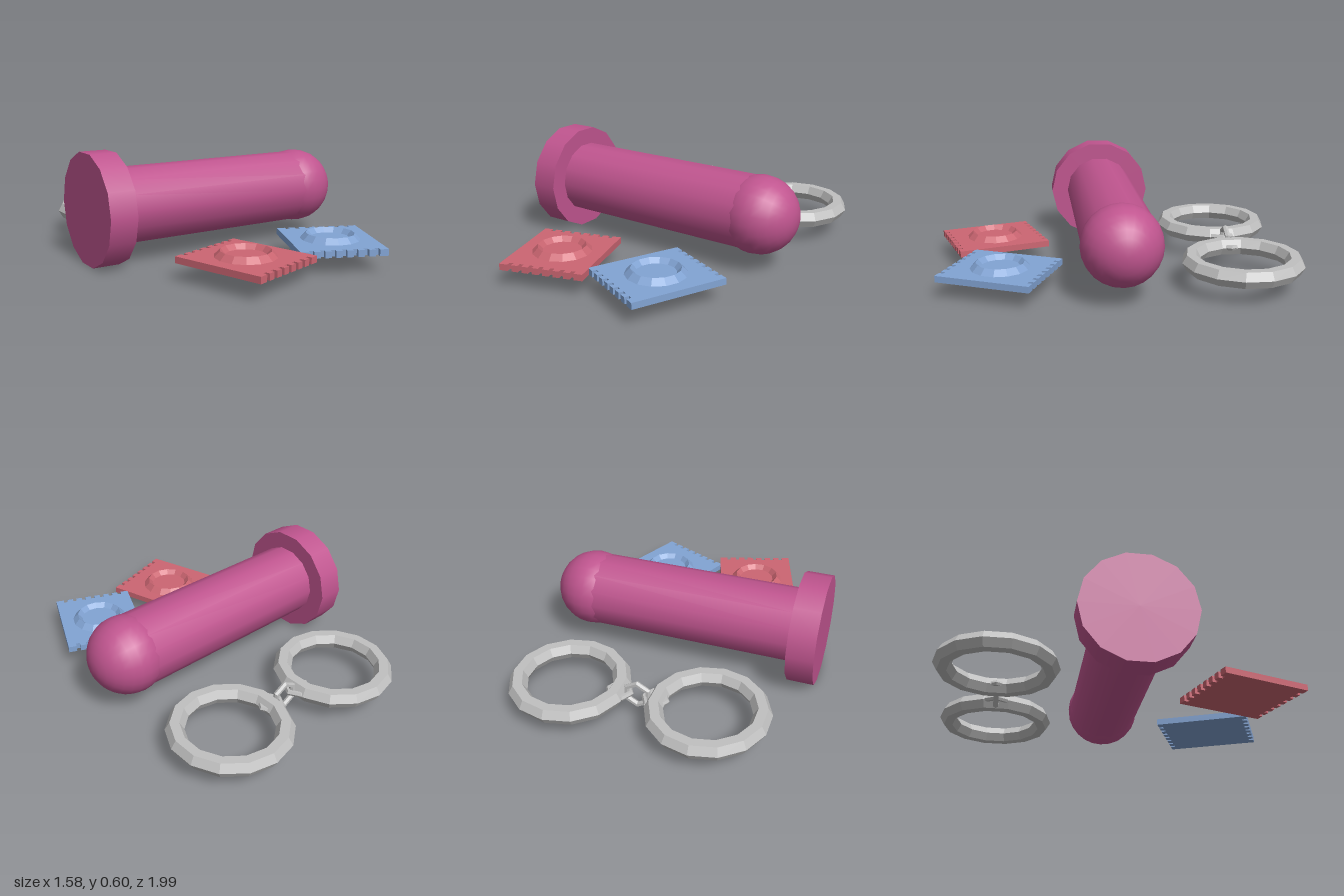
import * as THREE from 'three';

const paint = (name, color) => {
  const m = new THREE.MeshStandardMaterial({ color });
  m.name = name;
  return m;
};

// Faceted copy of a geometry
const faceted = (g) => {
  const f = g.index ? g.toNonIndexed() : g;
  f.computeVertexNormals();
  return f;
};

export function createModel() {
  const group = new THREE.Group();
  const magenta = paint('magenta', 0xc0558f);
  const metal = paint('metal', 0xc0c0c0);
  const red = paint('red', 0xcc6672);
  const blue = paint('blue', 0x82a4d4);

  const add = (name, geometry, material, x, y, z, parent = group) => {
    const mesh = new THREE.Mesh(geometry, material);
    mesh.name = name;
    mesh.position.set(x, y, z);
    parent.add(mesh);
    return mesh;
  };

  // Lying rod: wide base disc, shaft and round tip, all along x
  const rod = (r, length) => new THREE.CylinderGeometry(r, r, length, 14).rotateZ(-Math.PI / 2);
  add('base', rod(0.307, 0.15), magenta, -0.715, 0.3, 0);
  add('shaft', rod(0.207, 1.2), magenta, -0.04, 0.303, 0);
  add('roundTip', new THREE.SphereGeometry(0.216, 24, 14).rotateZ(-Math.PI / 2), magenta, 0.575, 0.302, 0);

  // Two large rings with a link through each
  for (const side of [-1, 1]) {
    const name = side < 0 ? 'right' : 'left';
    const ring = new THREE.TorusGeometry(0.28, 0.05, 6, 14).rotateZ(Math.PI / 2).rotateX(Math.PI / 2);
    add(name + 'Ring', faceted(ring), metal, 0.05 + side * 0.385, 0.144, -0.67);
    const link = new THREE.TorusGeometry(0.062, 0.016, 6, 6).rotateX(Math.PI / 2);
    add(name + 'Link', faceted(link), metal, 0.05 + side * 0.1, 0.147, -0.67);
  }
  // Upright link joining them
  const middle = new THREE.TorusGeometry(0.068, 0.016, 6, 6).rotateZ(Math.PI / 2);
  add('middleLink', faceted(middle), metal, 0.05, 0.151, -0.67);

  // Square packet with notched ends and a raised round rim
  const W = 0.46, L = 0.526, T = 0.035;
  const packet = (name, material, x, z, angle) => {
    const part = new THREE.Group();
    part.name = name;
    part.position.set(x, 0.094, z);
    part.rotation.y = angle;
    group.add(part);

    const teeth = 8, gap = 0.011, depth = 0.026, pitch = W / teeth;
    const outline = [];
    for (const s of [-1, 1]) {
      outline.push(new THREE.Vector2(s * W / 2, s * L / 2));
      for (let i = 1; i < teeth; i++) {
        const c = s * (W / 2 - i * pitch);
        const a = c + s * gap, b = c - s * gap;
        outline.push(
          new THREE.Vector2(a, s * L / 2), new THREE.Vector2(a, s * (L / 2 - depth)),
          new THREE.Vector2(b, s * (L / 2 - depth)), new THREE.Vector2(b, s * L / 2));
      }
      outline.push(new THREE.Vector2(-s * W / 2, s * L / 2));
    }
    const sheet = new THREE.ExtrudeGeometry(new THREE.Shape(outline), { depth: T, bevelEnabled: false });
    add('wrapper', sheet.rotateX(-Math.PI / 2), material, 0, 0, 0, part);

    // Rim slopes up, then down to a shallow floor
    const profile = [[0, 0.04], [0.105, 0.04], [0.13, 0.066], [0.163, T - 0.002]]
      .map(([r, y]) => new THREE.Vector2(r, y)).reverse();
    add('raisedRim', faceted(new THREE.LatheGeometry(profile, 14)), material, 0, 0, 0, part);
  };
  packet('redPacket', red, -0.24, 0.67, 0.304);
  packet('bluePacket', blue, 0.342, 0.622, -0.417);

  // Rim surfaces are open, so show both faces
  red.side = blue.side = THREE.DoubleSide;
  return group;
}
